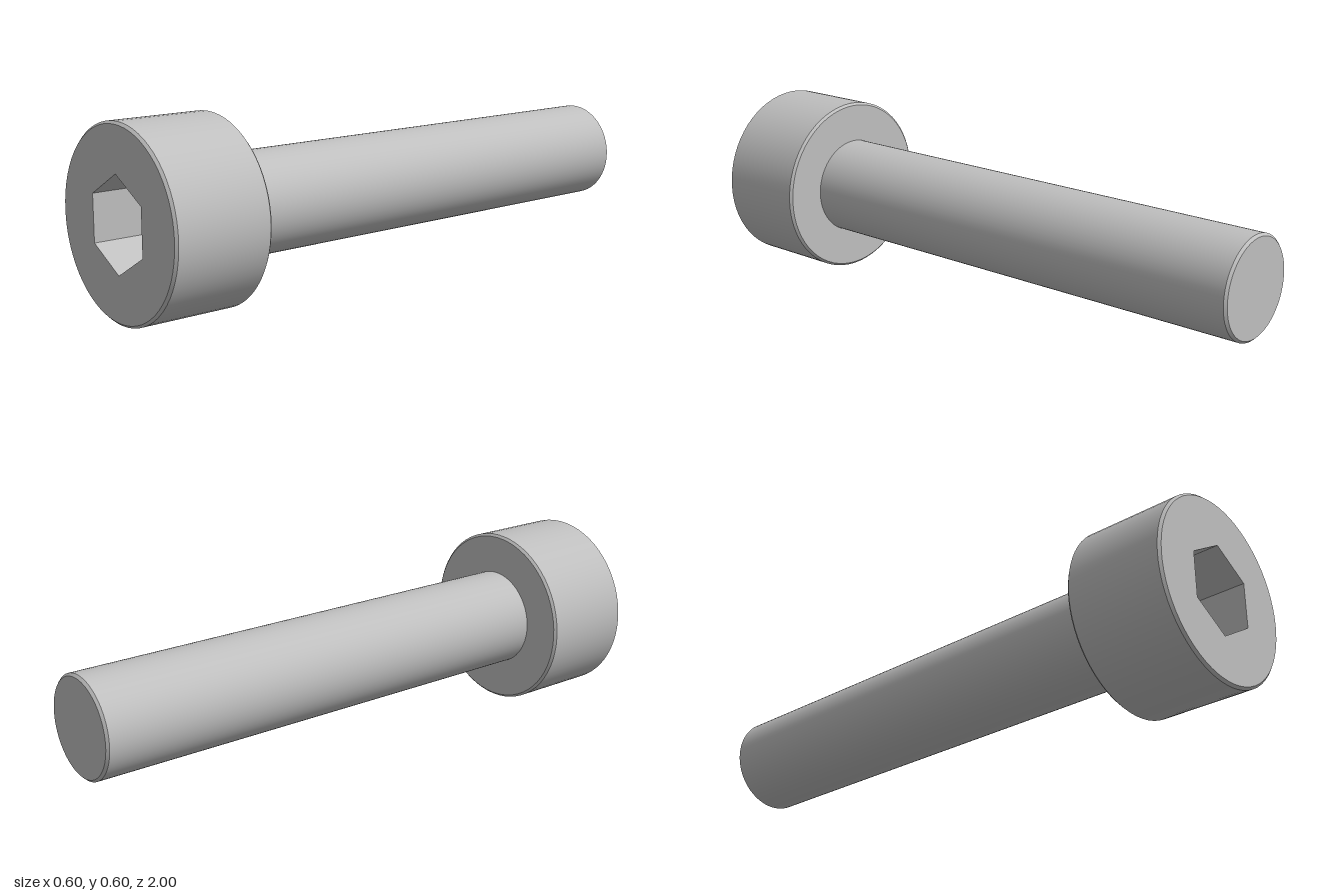
import * as THREE from 'three';
import { toCreasedNormals } from 'three/addons/utils/BufferGeometryUtils.js';

const SIDES = 64;
const AXIS_Y = 0.3;
const HEAD_R = 0.3, HEAD_BACK = 0.67, FRONT = 1, BACK = -1;
const SHANK_R = 0.164;
const SOCKET_R = 0.149, SOCKET_DEPTH = 0.167;
const CHAMFER = 0.008;

export function createModel() {
  const steel = new THREE.MeshStandardMaterial({ color: 0xbfbfbf });
  steel.name = 'steel';
  const bolt = new THREE.Group();
  bolt.name = 'socketHeadBolt';
  bolt.position.y = AXIS_Y;

  const add = (name, geometry, parent = bolt) => {
    const mesh = new THREE.Mesh(geometry, steel);
    mesh.name = name;
    parent.add(mesh);
    return mesh;
  };
  // Profile of [radius, z] pairs, running back to front, turned about the z axis
  const turned = (profile) => {
    const points = profile.map(([r, z]) => new THREE.Vector2(r, z));
    const g = new THREE.LatheGeometry(points, SIDES).rotateX(Math.PI / 2);
    return toCreasedNormals(g, 0.4);
  };

  // Shank with a chamfered tip
  add('shank', turned([
    [0, BACK],
    [SHANK_R - CHAMFER, BACK],
    [SHANK_R, BACK + CHAMFER],
    [SHANK_R, HEAD_BACK],
  ]));

  // Head: underside, chamfers and rim
  const head = new THREE.Group();
  head.name = 'head';
  bolt.add(head);
  add('headBody', turned([
    [SHANK_R, HEAD_BACK],
    [HEAD_R - CHAMFER, HEAD_BACK],
    [HEAD_R, HEAD_BACK + CHAMFER],
    [HEAD_R, FRONT - CHAMFER],
    [HEAD_R - CHAMFER, FRONT],
  ]), head);

  // Front face with a hexagonal opening
  const face = new THREE.Shape().absarc(0, 0, HEAD_R - CHAMFER, 0, Math.PI * 2);
  const corners = Array.from({ length: 6 }, (_, i) => {
    const a = Math.PI / 2 - i * Math.PI / 3;
    return new THREE.Vector2(Math.cos(a) * SOCKET_R, Math.sin(a) * SOCKET_R);
  });
  face.holes.push(new THREE.Path(corners));
  add('headFace', new THREE.ShapeGeometry(face, SIDES / 2), head).position.z = FRONT;

  // Socket walls, mirrored so that they face inwards, and the socket floor
  const walls = new THREE.CylinderGeometry(SOCKET_R, SOCKET_R, SOCKET_DEPTH, 6, 1, true)
    .scale(1, 1, -1)
    .rotateX(Math.PI / 2);
  add('socketWalls', toCreasedNormals(walls, 0.4), head).position.z = FRONT - SOCKET_DEPTH / 2;
  add('socketFloor', new THREE.CircleGeometry(SOCKET_R, 6, Math.PI / 2), head)
    .position.z = FRONT - SOCKET_DEPTH;

  const model = new THREE.Group();
  model.name = 'model';
  model.add(bolt);
  return model;
}
